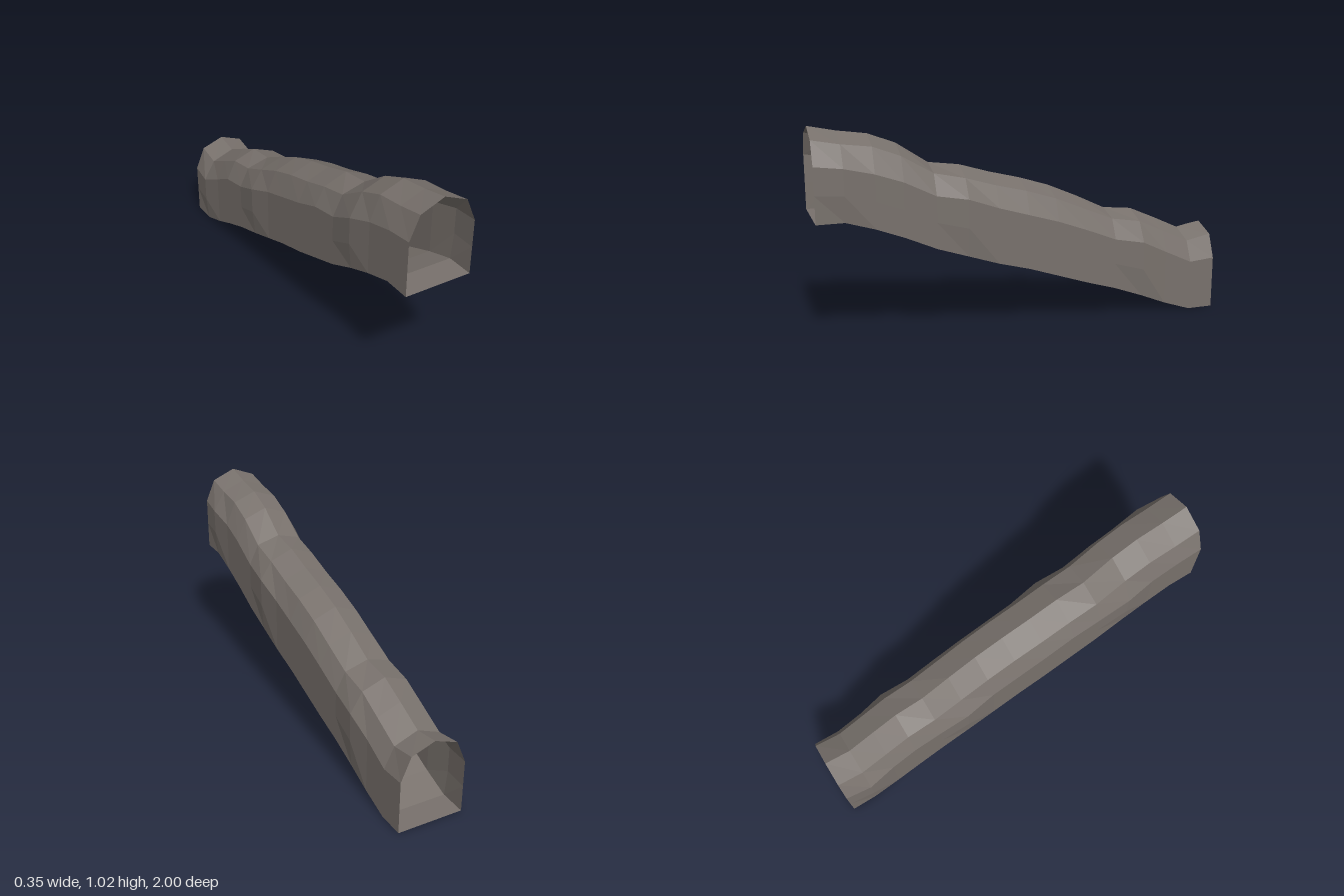
import * as THREE from 'three';

// Stations along the passage: z, floor, wall top, shoulder, ridge heights, bulge on +x, bulge on -x
const stations = [
  [1, 0.6, 0.86, 0.97, 1.017, 0, 0],
  [0.87, 0.6, 0.845, 0.945, 0.99, 0.011, 0],
  [0.73, 0.557, 0.81, 0.927, 0.97, 0, 0],
  [0.6, 0.507, 0.765, 0.877, 0.92, 0, 0.012],
  [0.45, 0.44, 0.69, 0.788, 0.82, 0, 0],
  [0.3, 0.39, 0.665, 0.755, 0.8, 0.011, 0],
  [0.15, 0.34, 0.61, 0.71, 0.755, 0, 0],
  [0, 0.3, 0.565, 0.673, 0.717, 0, 0],
  [-0.15, 0.25, 0.52, 0.625, 0.67, 0, 0],
  [-0.3, 0.2, 0.465, 0.562, 0.605, 0, 0.012],
  [-0.45, 0.155, 0.405, 0.5, 0.533, 0, 0],
  [-0.6, 0.1, 0.378, 0.475, 0.517, 0.011, 0],
  [-0.73, 0.047, 0.315, 0.415, 0.46, 0, 0],
  [-0.87, 0, 0.25, 0.35, 0.395, 0, 0.012],
  [-1, 0, 0.26, 0.375, 0.417, 0, 0],
];
const HALF = 0.163, SHOULDER = 0.115;

// Cross-section, from the +x floor corner over the ridge to the -x floor corner
function section([z, floor, wall, shoulder, ridge, bulgeL, bulgeR]) {
  const mid = (floor + wall) / 2;
  return [
    [HALF, floor, z], [HALF + bulgeL, mid, z], [HALF + bulgeL, wall, z],
    [SHOULDER, shoulder, z], [0, ridge, z], [-SHOULDER, shoulder, z],
    [-HALF - bulgeR, wall, z], [-HALF - bulgeR, mid, z], [-HALF, floor, z],
  ];
}

// Open skin between successive sections, using points first..last (wrapping round)
function skin(first, last) {
  const positions = [], index = [];
  const n = last - first + 1;
  stations.forEach((s, i) => {
    const ring = section(s);
    for (let j = first; j <= last; j++) positions.push(...ring[j % ring.length]);
    if (i === 0) return;
    for (let j = 0; j < n - 1; j++) {
      const a = (i - 1) * n + j, b = a + 1, c = i * n + j, d = c + 1;
      index.push(a, c, b, b, c, d);
    }
  });
  const geometry = new THREE.BufferGeometry();
  geometry.setAttribute('position', new THREE.Float32BufferAttribute(positions, 3));
  geometry.setIndex(index);
  const flat = geometry.toNonIndexed();
  flat.computeVertexNormals();
  return flat;
}

export function createModel() {
  const group = new THREE.Group();
  group.name = 'slopingTunnel';
  const stone = new THREE.MeshStandardMaterial({
    name: 'stone', color: 0x78716c, flatShading: true, side: THREE.DoubleSide,
  });
  const add = (name, first, last) => {
    const mesh = new THREE.Mesh(skin(first, last), stone);
    mesh.name = name;
    group.add(mesh);
  };
  add('leftWall', 0, 2);
  add('vaultedRoof', 2, 6);
  add('rightWall', 6, 8);
  add('floor', 8, 9);
  return group;
}
